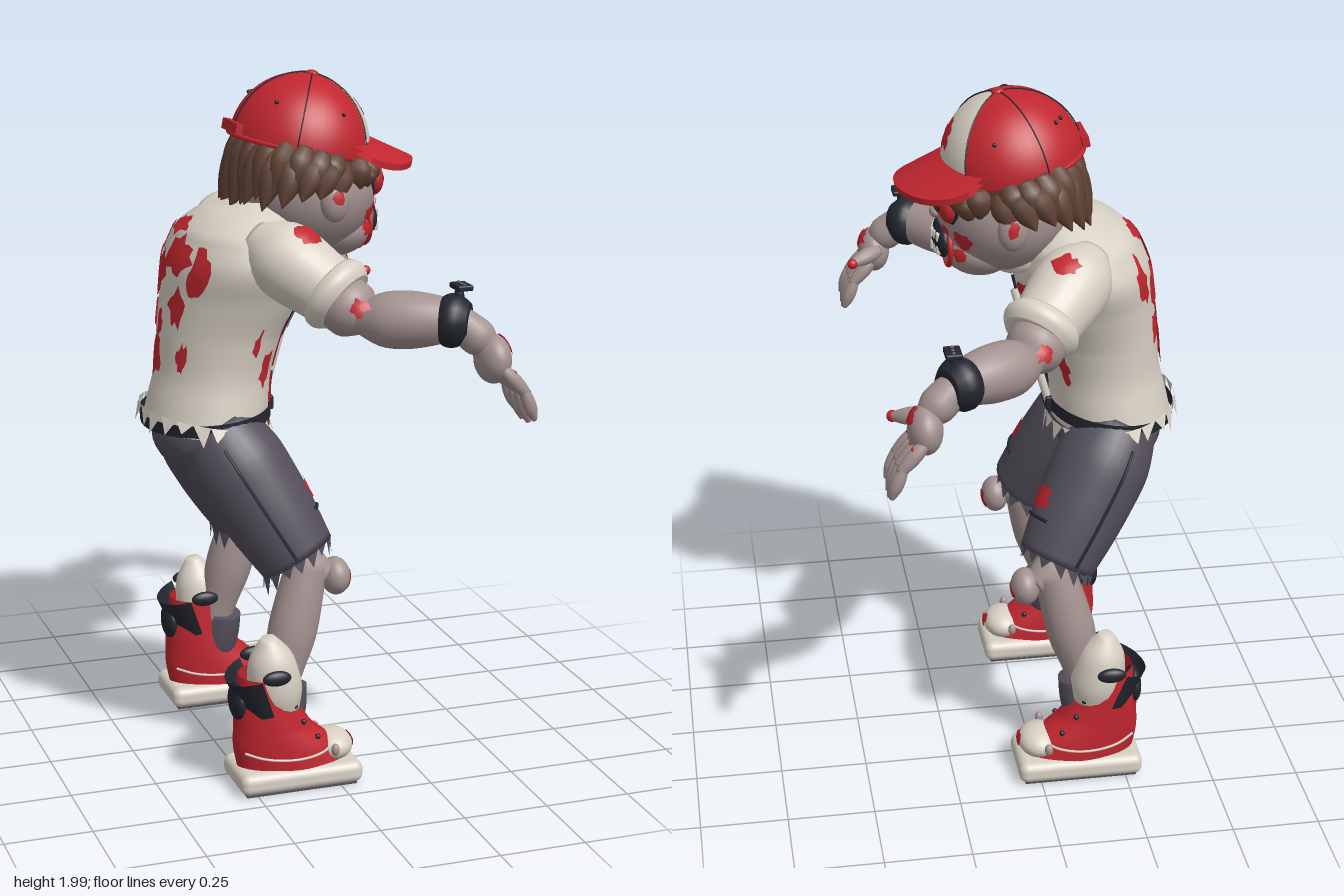
import * as THREE from 'three';
import { ParametricGeometry } from 'three/addons/geometries/ParametricGeometry.js';
import { RoundedBoxGeometry } from 'three/addons/geometries/RoundedBoxGeometry.js';

const V = (x, y, z) => new THREE.Vector3(x, y, z);
const material = (name, color) => Object.assign(new THREE.MeshStandardMaterial({ color, side: THREE.DoubleSide }), { name });

export function createModel() {
  const root = new THREE.Group();
  root.name = 'shamblingFigure';
  const red = material('red', 0xc0262f), cream = material('cream', 0xd8d0c4), skin = material('skin', 0xa39290),
    cloth = material('shortsCloth', 0x544f5b), dark = material('darkLeather', 0x23262f), hair = material('hair', 0x5f4234);
  let seed = 7;
  const rand = () => (seed = (seed * 16807) % 2147483647) / 2147483647;

  function add(name, geo, mat, pos = V(0, 0, 0), parent = root) {
    const m = new THREE.Mesh(geo, mat);
    m.name = name;
    m.position.copy(pos);
    parent.add(m);
    return m;
  }
  function ball(name, mat, pos, rx, ry = rx, rz = rx, parent = root) {
    const m = add(name, new THREE.SphereGeometry(1, 28, 18), mat, pos, parent);
    m.scale.set(rx, ry, rz);
    return m;
  }
  // Curved sheet from a function of u and v
  const sheet = (name, mat, fn, nu, nv, parent = root) =>
    add(name, new ParametricGeometry((u, v, out) => out.copy(fn(u, v)), nu, nv), mat, V(0, 0, 0), parent);
  const tube = (name, mat, pts, r, parent = root) =>
    add(name, new THREE.TubeGeometry(new THREE.CatmullRomCurve3(pts), 24, r, 6), mat, V(0, 0, 0), parent);
  // Surface point of a slightly enlarged ellipsoid, for painted details
  const ovalSurface = (c, rx, ry, rz, k = 1.025) => (a, b) =>
    V(c.x + k * rx * Math.cos(a) * Math.cos(b), c.y + k * ry * Math.sin(b), c.z + k * rz * Math.sin(a) * Math.cos(b));

  // Turned limb from p to q with evenly spaced radii; returns its surface function
  function limb(name, mat, p, q, radii, sides = 20) {
    const d = q.clone().sub(p), L = d.length(), n = radii.length - 1;
    const curve = new THREE.SplineCurve(radii.map((r, i) => new THREE.Vector2(r, L * i / n)));
    const pts = curve.getPoints(n * 4).map(v => new THREE.Vector2(Math.max(v.x, 0.001), v.y));
    const m = add(name, new THREE.LatheGeometry([new THREE.Vector2(0, 0), ...pts, new THREE.Vector2(0, L)], sides), mat, p);
    m.quaternion.setFromUnitVectors(V(0, 1, 0), d.normalize());
    return (a, t, k = 1.03) => {
      const c = curve.getPoint(t);
      return V(c.x * k * Math.sin(a), c.y, c.x * k * Math.cos(a)).applyQuaternion(m.quaternion).add(p);
    };
  }

  // Stack of oval sections [y, centre x, radius x, radius z]; returns its surface function
  function loft(name, mat, rows, zc = 0) {
    const n = rows.length - 1;
    const curve = new THREE.CatmullRomCurve3(rows.map(r => V(r[1], r[2], r[3])));
    const surface = (a, y, off = 0) => {
      let i = 0;
      while (i < n - 1 && y > rows[i + 1][0]) i++;
      const t = (i + (y - rows[i][0]) / (rows[i + 1][0] - rows[i][0])) / n;
      const c = curve.getPoint(Math.min(1, Math.max(0, t)));
      return V(c.x + (c.y + off) * Math.cos(a), y, zc + (c.z + off) * Math.sin(a));
    };
    sheet(name, mat, (u, v) => surface(-u * Math.PI * 2, rows[0][0] + v * (rows[n][0] - rows[0][0])), 40, 28);
    return surface;
  }

  // Ragged stain laid over a surface
  function stain(name, surface, u, v, ru, rv, spokes = 17) {
    const pos = [], idx = [], rings = 3;
    const reach = Array.from({ length: spokes }, () => 0.5 + 0.5 * rand());
    for (let r = 0; r <= rings; r++) for (let i = 0; i < spokes; i++) {
      const a = i / spokes * Math.PI * 2, k = reach[i] * r / rings;
      pos.push(...surface(u + ru * k * Math.cos(a), v + rv * k * Math.sin(a)).toArray());
      if (r < rings) {
        const p = r * spokes + i, q = r * spokes + (i + 1) % spokes;
        idx.push(p, p + spokes, q, q, p + spokes, q + spokes);
      }
    }
    const g = new THREE.BufferGeometry();
    g.setAttribute('position', new THREE.Float32BufferAttribute(pos, 3));
    g.setIndex(idx);
    g.computeVertexNormals();
    add(name, g, red);
  }

  // Torn triangles hanging from a ring
  function tatters(name, mat, ring, n, length, flare) {
    const pos = [];
    for (let i = 0; i < n; i++) {
      const a = i / n * Math.PI * 2, w = Math.PI * 2 / n;
      const tip = ring(a + w * (0.2 + 0.6 * rand()), 1 + flare);
      tip.y -= length * (0.4 + 0.6 * rand());
      pos.push(...ring(a, 1).toArray(), ...tip.toArray(), ...ring(a + w, 1).toArray());
    }
    const g = new THREE.BufferGeometry();
    g.setAttribute('position', new THREE.Float32BufferAttribute(pos, 3));
    g.computeVertexNormals();
    add(name, g, mat);
  }

  // Hunched shirt, belt and hips
  const shirt = loft('shirt', cream, [[1.0, -0.27, 0.175, 0.222], [1.06, -0.26, 0.172, 0.212], [1.15, -0.245, 0.165, 0.2],
    [1.26, -0.225, 0.175, 0.212], [1.38, -0.192, 0.193, 0.25], [1.48, -0.175, 0.194, 0.285], [1.55, -0.165, 0.175, 0.265],
    [1.6, -0.15, 0.135, 0.19], [1.64, -0.12, 0.06, 0.09]]);
  tatters('shirtHem', cream, (a, k) =>
    V(-0.27 + 0.186 * k * Math.cos(a), 1.03 - 0.03 * Math.cos(a), 0.236 * k * Math.sin(a)), 24, 0.07, 0.06);
  const belt = add('belt', new THREE.CylinderGeometry(1, 1, 0.036, 40, 1, true), dark, V(-0.268, 1.03, 0));
  belt.scale.set(0.184, 1, 0.232);
  belt.rotation.z = 0.08;
  add('buckle', new RoundedBoxGeometry(0.02, 0.042, 0.09, 2, 0.005), dark, V(-0.083, 1.045, 0));
  ball('hips', cloth, V(-0.26, 0.965, 0), 0.158, 0.125, 0.215);

  // Zip, badge and stains on the shirt
  const onShirt = (a, y) => shirt(a, y, 0.006);
  tube('zip', dark, Array.from({ length: 8 }, (_, i) => shirt(-0.04, 1.0 + i * 0.063, 0.003)), 0.005);
  limb('looseZipTape', cream, V(-0.085, 1.04, -0.025), V(0.015, 1.4, -0.02), [0.012, 0.012]);
  [[0.28, 0.72, 1.265, 1.34, dark, 0.007], [0.32, 0.68, 1.273, 1.332, cream, 0.009], [0.32, 0.68, 1.307, 1.326, red, 0.011],
    [0.34, 0.5, 1.278, 1.296, dark, 0.011]].forEach(([a0, a1, y0, y1, m, off]) =>
    sheet('badge', m, (u, v) => shirt(a1 + (a0 - a1) * u, y0 + (y1 - y0) * v, off), 6, 6));
  [[0.15, 1.4, 0.14, 0.1], [0.17, 1.23, 0.18, 0.12], [0.22, 1.08, 0.42, 0.11], [-0.5, 1.43, 0.3, 0.05], [0.8, 1.47, 0.35, 0.05],
    [-0.75, 1.2, 0.12, 0.06], [0.95, 1.18, 0.15, 0.07], [-0.4, 1.3, 0.07, 0.04], [2.9, 1.5, 0.35, 0.07], [3.4, 1.42, 0.35, 0.1],
    [3.7, 1.3, 0.15, 0.06], [2.75, 1.36, 0.2, 0.08], [2.5, 1.46, 0.2, 0.09], [3.15, 1.2, 0.2, 0.07], [2.5, 1.22, 0.12, 0.05],
    [3.3, 1.57, 0.35, 0.03], [3.9, 1.47, 0.15, 0.09], [3.1, 1.3, 0.12, 0.05], [0.6, 1.1, 0.12, 0.03],
    [1.3, 1.26, 0.08, 0.05]].forEach(s => stain('shirtStain', onShirt, ...s));

  // Head
  limb('neck', skin, V(-0.1, 1.52, 0), V(0.06, 1.62, 0), [0.11, 0.1, 0.1]);
  const collar = add('collar', new THREE.TorusGeometry(0.125, 0.026, 10, 32), cream, V(-0.06, 1.545, 0));
  collar.rotation.set(Math.PI / 2, -0.45, 0);
  const headC = V(0.045, 1.66, 0);
  ball('head', skin, headC, 0.19, 0.185, 0.215);
  ball('jaw', skin, V(0.115, 1.545, 0), 0.11, 0.085, 0.14);
  ball('nose', skin, V(0.235, 1.645, 0), 0.018, 0.018, 0.024);
  ball('mouth', dark, V(0.216, 1.568, 0), 0.03, 0.056, 0.078);
  const lips = add('bloodyLips', new THREE.TorusGeometry(0.088, 0.008, 8, 28), red, V(0.205, 1.558, 0));
  lips.rotation.y = Math.PI / 2;
  lips.scale.set(1, 0.8, 1);
  for (let i = 0; i < 5; i++) for (const y of [1.584, 1.546])
    add('tooth', new RoundedBoxGeometry(0.016, 0.027, 0.02, 1, 0.005), cream, V(0.243 - 0.005 * Math.abs(i - 2), y, (i - 2) * 0.023));
  const face = ovalSurface(headC, 0.19, 0.185, 0.215), chin = ovalSurface(V(0.115, 1.545, 0), 0.11, 0.085, 0.14, 1.04);
  stain('chinBlood', chin, 0.2, -0.65, 0.4, 0.25);
  for (const s of [1, -1]) {
    const eye = V(0.208, 1.69, s * 0.088);
    ball('eye', red, eye, 0.03, 0.047, 0.047);
    const socket = add('eyeSocket', new THREE.TorusGeometry(0.048, 0.007, 8, 24), dark, V(0.207, 1.69, s * 0.088));
    socket.rotation.y = Math.PI / 2 + s * -0.35;
    ball('pupil', dark, V(0.236, 1.69, s * 0.09), 0.006, 0.012, 0.012);
    const earC = V(0.05, 1.655, s * 0.215);
    ball('ear', skin, earC, 0.042, 0.058, 0.03);
    stain('earStain', ovalSurface(earC, 0.042, 0.058, 0.03, 1.08), s * 1.5, 0.2, 0.5, 0.5);
    stain('cheekBlood', face, s * 0.75, -0.3, 0.22, 0.2);
    stain('cheekBlood', face, s * 0.42, -0.22, 0.14, 0.1);
    stain('cheekBlood', chin, s * 0.9, 0.1, 0.25, 0.3);
  }

  // Layered hair locks swept backwards, short above the eyes and ears
  const scalp = add('scalp', new THREE.SphereGeometry(1, 28, 12, 0, Math.PI * 2, 0, 1.6), hair, V(0.016, 1.765, 0));
  scalp.scale.set(0.18, 0.15, 0.213);
  scalp.rotation.z = -0.2;
  for (let row = 0; row < 2; row++) for (let i = 0; i < 20; i++) {
    const a = (i + row * 0.5) / 20 * Math.PI * 2, c = Math.cos(a), z = Math.sin(a);
    const front = c > 0.5, back = Math.max(0, -c);
    const top = 1.79 - 0.045 * c - row * 0.02;
    const fall = (front ? 0.07 : 0.075 + 0.1 * back) + 0.03 * rand();
    const flare = front ? 1.2 : 1.14 + row * 0.1;
    limb('hairLock', hair, V(0.02 + (front ? 0.2 : 0.145) * c, top, 0.2 * z),
      V(front ? 0.01 + 0.198 * c : -0.035 + 0.135 * c * flare, top - fall, 0.212 * z * (front ? 1.02 : flare)),
      [0.025, 0.04, 0.03, 0.002], 8);
  }

  // Cap with a pale front panel
  const cap = new THREE.Group();
  cap.name = 'cap';
  cap.position.set(0.018, 1.785, 0);
  cap.rotation.z = -0.2;
  root.add(cap);
  const R = [0.2, 0.203, 0.212];
  const crown = (name, start, len, m) =>
    add(name, new THREE.SphereGeometry(1, 32, 16, start, len, 0, Math.PI / 2), m, V(0, 0, 0), cap).scale.set(...R);
  crown('capCrown', Math.PI + 0.75, Math.PI * 2 - 1.5, red);
  crown('capFrontPanel', Math.PI - 0.75, 1.5, cream);
  const onCap = ovalSurface(V(0, 0, 0), ...R, 1.012);
  for (const a of [0.75, 1.95, Math.PI, -1.95, -0.75]) {
    tube('capSeam', dark, Array.from({ length: 9 }, (_, i) => onCap(a, i / 8 * 1.55)), 0.002, cap);
    ball('capEyelet', dark, onCap(a + 0.5 * Math.sign(a), 0.6), 0.006, 0.006, 0.006, cap);
  }
  ball('capButton', red, V(0, 0.203, 0), 0.018, 0.01, 0.018, cap);
  const rim = add('capRim', new THREE.TorusGeometry(0.203, 0.007, 8, 40), red, V(0, 0, 0), cap);
  rim.rotation.x = Math.PI / 2;
  add('capStrap', new THREE.BoxGeometry(0.02, 0.03, 0.13), red, V(-0.205, 0.02, 0), cap);
  const brim = (u, v, down = 0) => {
    const a = (u - 0.5) * 2.1, b = (u - 0.5) * Math.PI;
    const x = (1 - v) * 0.185 * Math.cos(a) + v * (0.15 + 0.185 * Math.cos(b));
    const z = (1 - v) * 0.2 * Math.sin(a) + v * 0.197 * Math.sin(b);
    return V(x, 0.022 + 0.25 * (0.335 - x) - 1.4 * z * z - down, z);
  };
  sheet('capVisor', red, (u, v) => brim(u, v), 28, 8, cap);
  sheet('capVisorUnderside', red, (u, v) => brim(1 - u, v, 0.018), 28, 8, cap);
  sheet('capVisorEdge', red, (u, v) => brim(u, 1, 0.018 * v), 28, 1, cap);
  cap.updateMatrix();
  stain('capStain', (a, b) => onCap(a, b).applyMatrix4(cap.matrix), 0, 0.62, 0.3, 0.28, 22);

  for (const s of [1, -1]) {
    const P = (x, y, z) => V(x, y, z * s);
    // Sleeve, arm and wrist strap
    limb('sleeve', cream, P(0.005, 1.42, 0.38), P(-0.18, 1.565, 0.19), [0.092, 0.1, 0.108, 0.1, 0.05], 28);
    limb('sleeveCuff', cream, P(0.018, 1.41, 0.393), P(-0.02, 1.447, 0.352), [0.092, 0.108, 0.11, 0.097], 28);
    const shoulder = ovalSurface(P(-0.1, 1.505, 0.275), 0.111, 0.111, 0.111);
    stain('sleeveStain', shoulder, s * 1.2, 0.95, 0.8, 0.42);
    stain('sleeveStain', shoulder, s * 0.2, 0.2, 0.3, 0.25);
    limb('upperArm', skin, P(-0.03, 1.44, 0.35), P(0.065, 1.365, 0.475), [0.075, 0.08, 0.078, 0.03]);
    limb('forearm', skin, P(0.02, 1.375, 0.45), P(0.27, 1.39, 0.61), [0.03, 0.072, 0.08, 0.07, 0.05]);
    const elbow = P(0.035, 1.39, 0.465);
    stain('elbowStain', ovalSurface(elbow, 0.068, 0.066, 0.068, 1.06), s * 2.0, 0.5, 0.6, 0.5);
    limb('wristStrap', dark, P(0.21, 1.39, 0.573), P(0.29, 1.385, 0.622), [0.05, 0.072, 0.072, 0.05]);
    limb('strapPost', dark, P(0.262, 1.42, 0.605), P(0.265, 1.475, 0.607), [0.018, 0.012]);
    add('strapPlate', new RoundedBoxGeometry(0.045, 0.016, 0.065, 2, 0.005), dark, P(0.27, 1.482, 0.607));
    for (const dz of [-0.02, 0, 0.02]) ball('strapStud', cloth, P(0.27, 1.49, 0.607 + dz), 0.006, 0.004, 0.006);

    // Drooping hand
    limb('wrist', skin, P(0.26, 1.39, 0.605), P(0.35, 1.31, 0.635), [0.045, 0.05, 0.05, 0.03]);
    const palmC = P(0.35, 1.285, 0.642);
    ball('palm', skin, palmC, 0.048, 0.068, 0.072);
    stain('handStain', ovalSurface(palmC, 0.048, 0.068, 0.072, 1.06), 0, 0.65, 0.85, 0.6);
    for (let i = 0; i < 4; i++) {
      const z = 0.583 + i * 0.041, low = i % 3 ? 0 : 0.015;
      limb('fingerBase', skin, P(0.355, 1.27, 0.595 + i * 0.033), P(0.425, 1.195, z), [0.015, 0.021, 0.02, 0.014], 12);
      limb('fingerTip', skin, P(0.415, 1.21, z), P(0.45, 1.105 + low, z), [0.013, 0.019, 0.018, 0.007], 12);
      ball('knuckleStain', red, P(0.388, 1.253, 0.592 + i * 0.036), 0.008, 0.01, 0.012);
    }
    limb('thumb', skin, P(0.34, 1.3, 0.59), P(0.425, 1.28, 0.54), [0.02, 0.025, 0.022, 0.012], 12);
    ball('thumbTip', red, P(0.425, 1.28, 0.538), 0.016);

    // Shorts leg with a torn hem, seams and patch
    const leg = limb('shortsLeg', cloth, P(-0.07, 0.64, 0.25), P(-0.28, 1.01, 0.12), [0.113, 0.128, 0.137, 0.138, 0.11], 28);
    tatters('shortsHem', cloth, (a, k) => leg(a, k > 1 ? 0 : 0.02, k), 16, 0.055, 0.02);
    const forward = Math.PI / 2 - s * 0.25, outer = Math.PI / 2 - s * (Math.PI / 2 + 0.25);
    stain('shortsStain', leg, forward, 0.36, 0.42, 0.1);
    for (const [a0, a1, t0, t1] of [[outer, outer, 0.04, 0.85], [forward - 0.45, forward + 0.45, 0.22, 0.22]])
      tube('shortsSeam', dark, Array.from({ length: 6 }, (_, i) => leg(a0 + (a1 - a0) * i / 5, t0 + (t1 - t0) * i / 5, 1.015)), 0.005);

    // Knee, shin and sock
    const knee = P(0.028, 0.588, 0.293);
    limb('kneeJoint', skin, P(-0.08, 0.64, 0.27), P(0.0, 0.59, 0.295), [0.06, 0.055, 0.04]);
    ball('kneecap', skin, knee, 0.042, 0.055, 0.055);
    stain('kneeStain', ovalSurface(knee, 0.042, 0.055, 0.055, 1.05), 0, -0.2, 0.8, 0.65);
    limb('shin', skin, P(-0.16, 0.22, 0.32), P(-0.055, 0.64, 0.29), [0.045, 0.055, 0.07, 0.067, 0.057]);
    limb('sock', cloth, P(-0.14, 0.17, 0.325), P(-0.125, 0.29, 0.312), [0.058, 0.062, 0.058]);

    // High-top shoe
    const zc = 0.347 * s;
    add('sole', new RoundedBoxGeometry(0.365, 0.064, 0.205, 4, 0.025), cream, V(-0.117, 0.038, zc));
    add('soleTread', new THREE.BoxGeometry(0.33, 0.01, 0.17), cloth, V(-0.117, 0.005, zc));
    const shoe = loft('shoe', red, [[0.065, -0.12, 0.165, 0.09], [0.12, -0.145, 0.15, 0.088], [0.18, -0.18, 0.115, 0.084],
      [0.25, -0.2, 0.092, 0.08], [0.34, -0.205, 0.075, 0.076]], zc);
    ball('toeCap', cream, V(-0.002, 0.1, zc), 0.06, 0.045, 0.076);
    stain('toeStain', ovalSurface(V(-0.002, 0.1, zc), 0.06, 0.045, 0.076, 1.06), 0, 0.2, 0.45, 0.6);
    limb('ankleCollar', cream, P(-0.165, 0.23, 0.35), P(-0.2, 0.455, 0.372), [0.064, 0.077, 0.074, 0.06, 0.02]);
    const pad = add('anklePad', new THREE.CylinderGeometry(0.11, 0.094, 0.12, 24, 1, true, Math.PI + 0.3, Math.PI - 0.6), dark, P(-0.195, 0.305, 0.35));
    pad.rotation.z = 0.3;
    ball('anklePadTail', dark, V(-0.285, 0.265, zc), 0.022, 0.055, 0.055);
    for (const e of [1, -1]) {
      ball('anklePadTip', dark, V(-0.2, 0.36, zc + e * 0.105), 0.042, 0.022, 0.016);
      const welt = Array.from({ length: 6 }, (_, i) => shoe(e * (2.6 - i * 0.42), 0.12 - 0.02 * Math.sin(i / 5 * Math.PI), 0.003));
      tube('shoeStitch', cream, welt, 0.004);
      for (let i = 0; i < 3; i++) ball('shoeStud', dark, shoe(e * 0.75, 0.15 + i * 0.05, 0.003), 0.008);
      ball('toeStud', skin, V(-0.02, 0.115, zc + e * 0.09), 0.012, 0.018, 0.012);
    }
  }
  return root;
}
